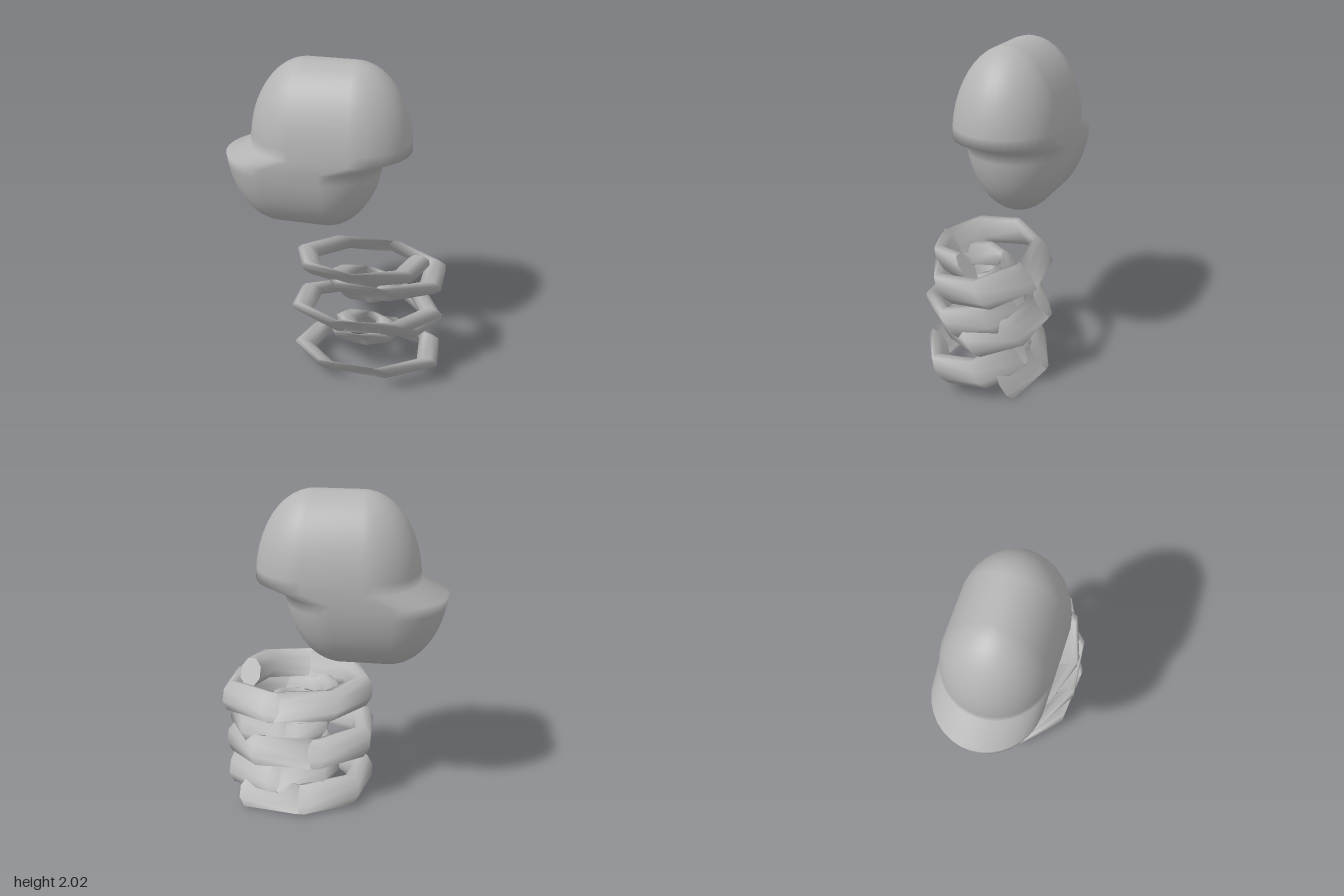
import * as THREE from 'three';
import { mergeVertices } from 'three/addons/utils/BufferGeometryUtils.js';

// Smooth skin through a list of equally sized closed rings
function loft(rings) {
  const m = rings[0].length, index = [];
  for (let i = 0; i < rings.length - 1; i++) {
    for (let j = 0; j < m; j++) {
      const a = i * m + j, b = i * m + (j + 1) % m, c = a + m, d = b + m;
      index.push(a, c, b, b, c, d);
    }
  }
  let g = new THREE.BufferGeometry().setFromPoints(rings.flat());
  g.setIndex(index);
  g = mergeVertices(g, 1e-5);
  g.computeVertexNormals();
  return g;
}

// Stretched ellipsoid whose lower half is slid sideways
function bodyGeometry() {
  const rows = 24, sides = 34, rings = [];
  for (let i = 0; i <= rows; i++) {
    const theta = Math.PI * i / rows;
    const s = Math.sin(theta), cx = i > rows / 2 ? -0.223 : -0.058;
    const ring = [];
    for (let j = 0; j < sides; j++) {
      const p = 2 * Math.PI * j / sides, c = Math.cos(p);
      ring.push(new THREE.Vector3(
        cx + 0.14 * Math.sign(c) + 0.348 * s * c,
        1.477 + 0.523 * Math.cos(theta),
        -0.053 - 0.325 * s * Math.sin(p)));
    }
    rings.push(ring);
  }
  return loft(rings);
}

// Coil radius at every quarter turn, from seven turns below the top end up to it
const radii = [0.44, 0.43, 0.41, 0.43, 0.43, 0.31, 0.19, 0.15, 0.12, 0.13,
  0.14, 0.20, 0.39, 0.42, 0.44, 0.43, 0.39, 0.25, 0.14, 0.14,
  0.13, 0.15, 0.19, 0.32, 0.43, 0.42, 0.41, 0.38, 0.295];

function coilPoint(turn) {
  const q = (turn + 7) * 4;
  const i = Math.min(Math.floor(q), radii.length - 2);
  const r = THREE.MathUtils.lerp(radii[i], radii[i + 1], q - i) * 1.03;
  const phi = turn * 2 * Math.PI;
  return new THREE.Vector3(
    0.21 + r * Math.cos(phi), 0.79 + turn * 0.1075, 0.015 - 0.7 * r * Math.sin(phi));
}

// Tilted disc that keeps its orientation all along the coil
function discRing(centre, size = 1) {
  return Array.from({ length: 8 }, (_, j) => {
    const a = (j + 0.5) * Math.PI / 4, c = Math.cos(a) * size, s = Math.sin(a) * size;
    return new THREE.Vector3(
      centre.x + 0.067 * c, centre.y + 0.08 * s, centre.z + 0.06 * s);
  });
}

export function createModel() {
  const group = new THREE.Group();
  const grey = new THREE.MeshStandardMaterial({ color: 0xb4b4b4, side: THREE.DoubleSide });
  grey.name = 'plain grey';
  const add = (name, geometry) => {
    const mesh = new THREE.Mesh(geometry, grey);
    mesh.name = name;
    group.add(mesh);
  };

  add('slidBody', bodyGeometry());

  // Spring of alternating wide and narrow turns
  const steps = 52, startTurn = -6.86, centres = [];
  for (let k = 0; k <= steps; k++) centres.push(coilPoint(startTurn * (1 - k / steps)));
  add('spring', loft(centres.map((c) => discRing(c))));

  // Flat spring ends
  const first = centres[0], last = centres[steps];
  add('springBottomEnd', loft([discRing(first, 0), discRing(first)]));
  add('springTopEnd', loft([discRing(last), discRing(last, 0)]));

  return group;
}
